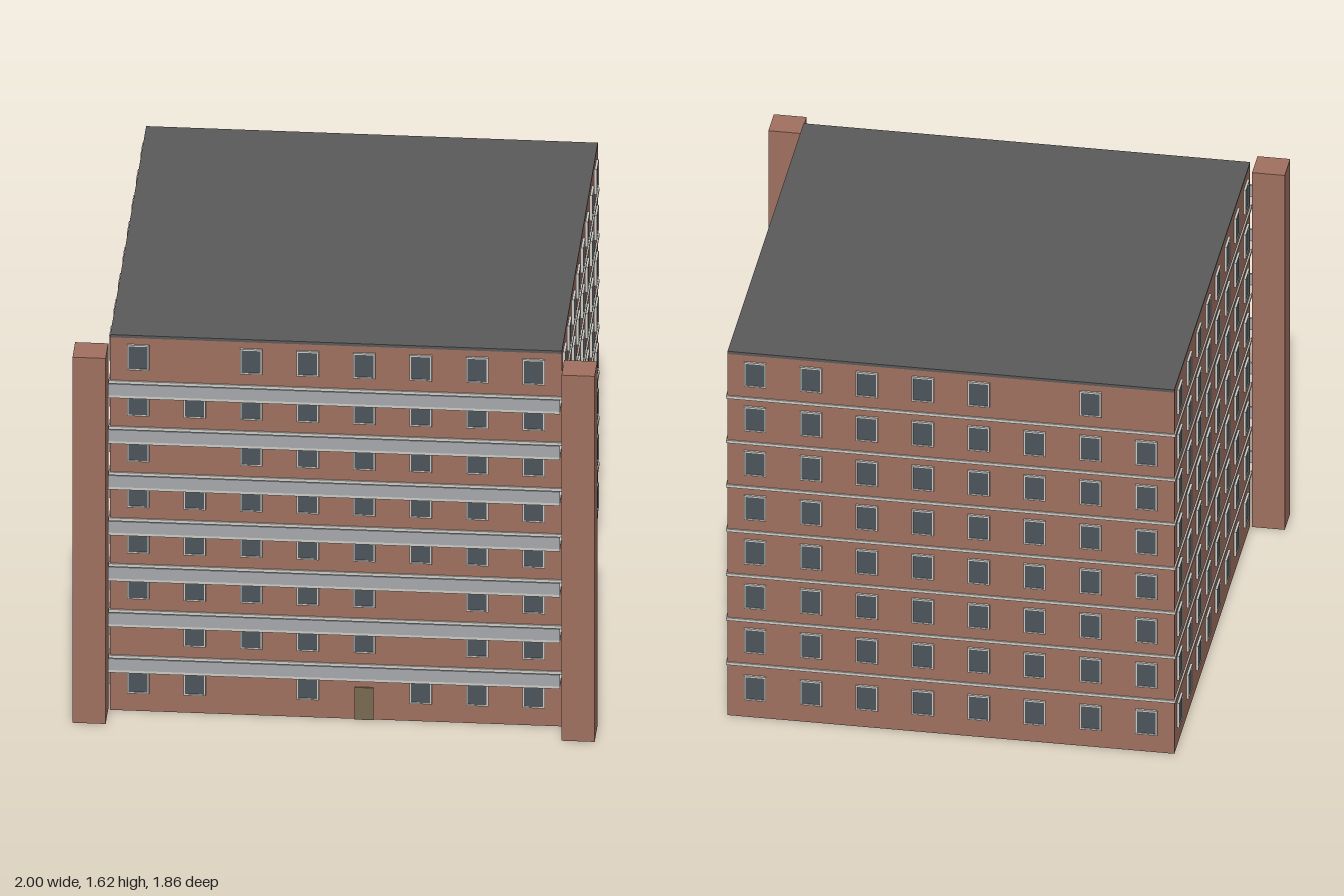
import * as THREE from 'three';

const mat = (color) => new THREE.MeshStandardMaterial({ color });
const brick = mat(0xa07060), roofGrey = mat(0x5a5a5a), stone = mat(0xcccac4);
const railGrey = mat(0xa6a8ac), glassMat = mat(0x4c555c), doorMat = mat(0x7a6a52);

const HALF = 0.865, MID_Z = -0.055, FLOORS = 8, COLS = 8;
const STOREY = 0.197, PITCH = 0.2165;

function box(parent, name, material, [w, h, d], [x, y, z]) {
  const mesh = new THREE.Mesh(new THREE.BoxGeometry(w, h, d), material);
  mesh.name = name;
  mesh.position.set(x, y, z);
  parent.add(mesh);
  return mesh;
}

// Window frame: a thin rectangle with a rectangular opening
function frameGeometry(w, h, border, depth) {
  const rect = (P, a, b) => new P([[-a, -b], [a, -b], [a, b], [-a, b]].map(([x, y]) => new THREE.Vector2(x, y)));
  const shape = rect(THREE.Shape, w / 2, h / 2);
  shape.holes.push(rect(THREE.Path, w / 2 - border, h / 2 - border));
  return new THREE.ExtrudeGeometry(shape, { depth, bevelEnabled: false });
}
const frameGeo = frameGeometry(0.085, 0.108, 0.006, 0.009);
const glassGeo = new THREE.BoxGeometry(0.075, 0.098, 0.012);

function makeWindow(x, y) {
  const g = new THREE.Group();
  g.name = 'window';
  const frame = new THREE.Mesh(frameGeo, stone);
  frame.name = 'windowFrame';
  const glass = new THREE.Mesh(glassGeo, glassMat);
  glass.name = 'windowGlass';
  g.add(frame, glass);
  g.position.set(x, y, HALF);
  return g;
}

// One wall of windows facing +z; blanks lists 'floor,column' places left bare
function windowWall(name, angle, blanks) {
  const wall = new THREE.Group();
  wall.name = name;
  for (let f = 0; f < FLOORS; f++) {
    const y = f === 0 ? 0.132 : 0.341 + (f - 1) * STOREY;
    for (let c = 0; c < COLS; c++) {
      if (blanks.includes(`${f},${c}`)) continue;
      wall.add(makeWindow((c - (COLS - 1) / 2) * PITCH, y));
    }
  }
  wall.rotation.y = angle;
  wall.position.z = MID_Z;
  return wall;
}

export function createModel() {
  const model = new THREE.Group();
  model.name = 'apartmentBlock';

  // Main block and flat roof
  box(model, 'building', brick, [HALF * 2, 1.603, HALF * 2], [0, 0.8015, MID_Z]);
  box(model, 'roof', roofGrey, [HALF * 2, 0.012, HALF * 2], [0, 1.609, MID_Z]);

  // Windows on the four walls
  model.add(
    windowWall('frontWindows', 0, ['0,2', '0,4', '1,0', '1,5', '2,5', '5,1', '7,1']),
    windowWall('leftWindows', Math.PI / 2, ['2,3', '2,6', '3,4']),
    windowWall('backWindows', Math.PI, ['7,5', '7,7']),
    windowWall('rightWindows', -Math.PI / 2, []),
  );

  // Entrance door
  box(model, 'door', doorMat, [0.072, 0.138, 0.012], [0.108, 0.069, MID_Z + HALF]);

  // Stone courses around the block, with a balcony across the front at each floor
  for (let i = 0; i < FLOORS - 1; i++) {
    const y = 0.232 + i * STOREY;
    box(model, 'stoneCourse', stone, [HALF * 2 + 0.012, 0.012, HALF * 2 + 0.012], [0, y, MID_Z]);
    box(model, 'balconyFloor', stone, [HALF * 2, 0.011, 0.105], [0, y - 0.013, 0.8595]);
    box(model, 'balconyRail', railGrey, [HALF * 2, 0.049, 0.008], [0, y + 0.017, 0.908]);
  }

  // Corner piers either side of the balconies
  for (const side of [-1, 1]) {
    box(model, 'pier', brick, [0.127, 1.573, 0.125], [side * 0.9365, 0.7865, 0.8655]);
  }
  return model;
}
